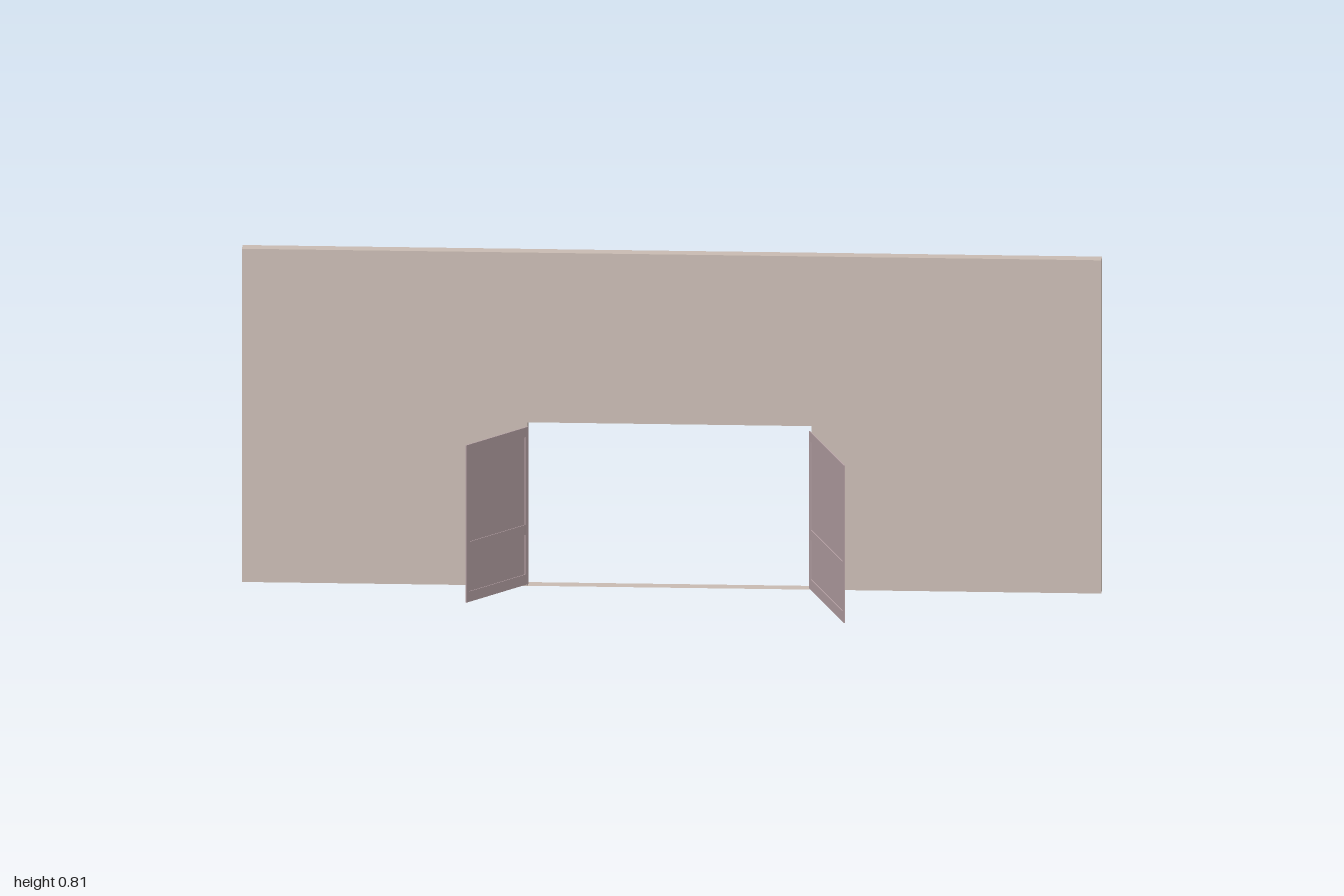
import * as THREE from 'three';

const wallMat = new THREE.MeshStandardMaterial({ color: 0xcbbdb5 });
const doorMat = new THREE.MeshStandardMaterial({ color: 0xbaa5a8 });
const thinMat = wallMat.clone();
thinMat.side = THREE.DoubleSide;

// Wall extents and doorway
const BOTTOM = 0.01, TOP = 0.815, FRONT = -0.106, BACK = -0.138;
const OPEN_L = -0.335, OPEN_R = 0.325, OPEN_TOP = 0.405, INSET = 0.004;
const DOOR_H = 0.38;

function block(name, x0, x1, y0, y1, z0, z1) {
  const mesh = new THREE.Mesh(new THREE.BoxGeometry(x1 - x0, y1 - y0, z1 - z0), wallMat);
  mesh.position.set((x0 + x1) / 2, (y0 + y1) / 2, (z0 + z1) / 2);
  mesh.name = name;
  return mesh;
}

// Horizontal sheet across the doorway section
function sheet(name, y, z0, z1) {
  const geo = new THREE.PlaneGeometry(OPEN_R - OPEN_L, z1 - z0).rotateX(-Math.PI / 2);
  const mesh = new THREE.Mesh(geo, thinMat);
  mesh.position.set((OPEN_L + OPEN_R) / 2, y, (z0 + z1) / 2);
  mesh.name = name;
  return mesh;
}

function rectPath(Type, x0, x1, y0, y1) {
  const p = new Type();
  p.moveTo(x0, y0).lineTo(x1, y0).lineTo(x1, y1).lineTo(x0, y1).closePath();
  return p;
}

// Thin sagging leaf between two lower corners, panelled on the inner face
function door(name, start, end) {
  const along = end.clone().sub(start);
  const flat = along.clone().setY(0);
  const width = flat.length();
  const up = new THREE.Vector3(0, 1, 0);
  const inward = flat.clone().normalize().cross(up);

  const outline = rectPath(THREE.Shape, 0, width, 0, DOOR_H);
  for (const [y0, y1] of [[0.025, 0.121], [0.145, 0.357]]) {
    outline.holes.push(rectPath(THREE.Path, 0.012, width - 0.012, y0, y1));
  }
  const frame = new THREE.ExtrudeGeometry(outline, { depth: 0.002, bevelEnabled: false });
  const leaf = new THREE.BoxGeometry(width, DOOR_H, 0.001);
  leaf.translate(width / 2, DOOR_H / 2, -0.0005);

  const place = new THREE.Matrix4()
    .makeBasis(along.divideScalar(width), up, inward)
    .setPosition(start);
  const group = new THREE.Group();
  group.name = name;
  for (const [part, geo] of [['doorFrame', frame], ['doorPanel', leaf]]) {
    const mesh = new THREE.Mesh(geo.applyMatrix4(place), doorMat);
    mesh.name = part;
    group.add(mesh);
  }
  return group;
}

export function createModel() {
  const model = new THREE.Group();
  model.name = 'wallWithDoubleDoor';

  // Wall: two full-height sides and a lintel slightly inset at the back
  model.add(
    block('rightWall', -1, OPEN_L, BOTTOM, TOP, BACK, FRONT),
    block('leftWall', OPEN_R, 1, BOTTOM, TOP, BACK, FRONT),
    block('lintel', OPEN_L, OPEN_R, OPEN_TOP, TOP, BACK + INSET, FRONT),
    sheet('topLip', TOP, BACK, BACK + INSET),
    sheet('threshold', BOTTOM, BACK, FRONT),
  );

  // Doors standing open, one lifted and one sagging at the free edge
  model.add(
    door('rightDoor', new THREE.Vector3(-0.469, 0.027, 0.104), new THREE.Vector3(-0.335, 0.015, -0.105)),
    door('leftDoor', new THREE.Vector3(0.322, 0.015, -0.1), new THREE.Vector3(0.415, 0, 0.138)),
  );
  return model;
}
